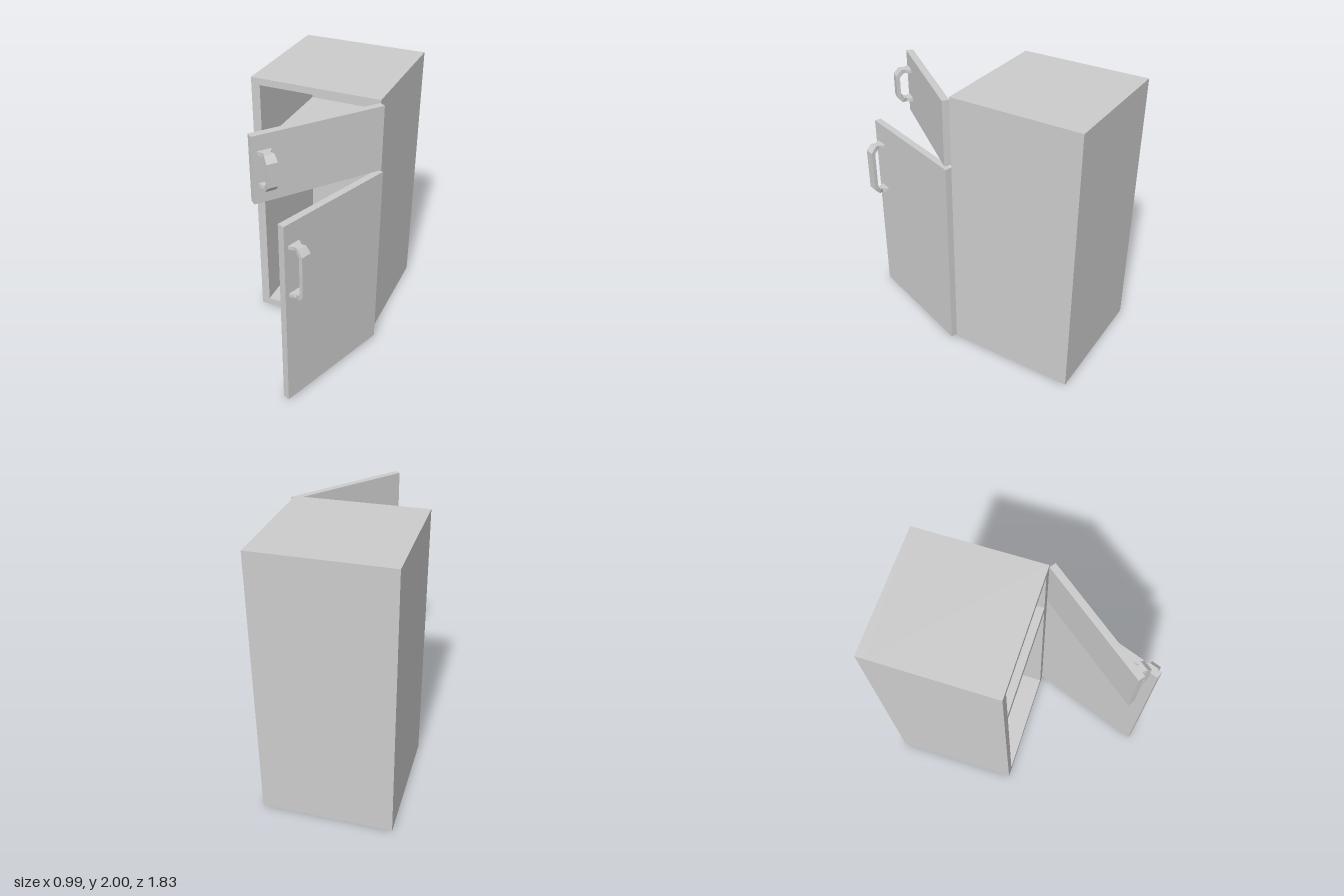
import * as THREE from 'three';

const material = new THREE.MeshStandardMaterial({ color: 0xcccccc, flatShading: true });

function addMesh(parent, name, geometry) {
  const mesh = new THREE.Mesh(geometry, material);
  mesh.name = name;
  parent.add(mesh);
  return mesh;
}

function rectPoints(x0, y0, x1, y1) {
  return [[x0, y0], [x1, y0], [x1, y1], [x0, y1]].map(([x, y]) => new THREE.Vector2(x, y));
}

// Bent strap handle: rectangular sections swept from the lower foot to the upper foot.
// h is half the height; z is the distance out from the door's inner face.
function handleGeometry(h) {
  // [outer y, outer z, inner y, inner z, width]
  const half = [
    [h, 0.045, h - 0.025, 0.045, 0.1],
    [h, 0.065, h - 0.025, 0.065, 0.085],
    [h, 0.095, h - 0.025, 0.09, 0.05],
    [h, 0.125, h - 0.03, 0.112, 0.07],
    [h - 0.042, 0.163, h - 0.055, 0.135, 0.075],
  ];
  const ring = ([oy, oz, iy, iz, w], s) => [
    [-w / 2, s * oy, oz], [w / 2, s * oy, oz], [w / 2, s * iy, iz], [-w / 2, s * iy, iz],
  ];
  const rings = [...half.map(p => ring(p, -1)), ...half.slice().reverse().map(p => ring(p, 1))];
  const positions = [];
  for (let k = 0; k < rings.length - 1; k++) {
    for (let j = 0; j < 4; j++) {
      const n = (j + 1) % 4;
      const a = rings[k][j], b = rings[k][n], c = rings[k + 1][n], d = rings[k + 1][j];
      positions.push(...a, ...b, ...c, ...a, ...c, ...d);
    }
  }
  const geometry = new THREE.BufferGeometry();
  geometry.setAttribute('position', new THREE.Float32BufferAttribute(positions, 3));
  geometry.computeVertexNormals();
  return geometry;
}

// Door hinged on the cabinet's front left edge, swung open by the given angle
function makeDoor(name, y0, y1, degrees, handleY, handleHalf) {
  const width = 0.93, thickness = 0.05;
  const door = new THREE.Group();
  door.name = name;
  addMesh(door, name + 'Panel', new THREE.BoxGeometry(width, y1 - y0, thickness))
    .position.set(-width / 2, (y0 + y1) / 2, thickness / 2);
  addMesh(door, name + 'Handle', handleGeometry(handleHalf)).position.set(-0.85, handleY, 0);
  door.position.set(0.447, 0, 0.02);
  door.rotation.y = THREE.MathUtils.degToRad(degrees);
  return door;
}

export function createModel() {
  const model = new THREE.Group();
  model.name = 'refrigerator';

  // Cabinet shell with two open compartments
  const cabinet = new THREE.Group();
  cabinet.name = 'cabinet';
  const shape = new THREE.Shape(rectPoints(-0.5, 0, 0.45, 2));
  shape.holes.push(new THREE.Path(rectPoints(-0.435, 0.06, 0.385, 1.445)));
  shape.holes.push(new THREE.Path(rectPoints(-0.435, 1.51, 0.385, 1.95)));
  addMesh(cabinet, 'cabinetWalls', new THREE.ExtrudeGeometry(shape, { depth: 0.87, bevelEnabled: false }))
    .position.z = -0.85;
  addMesh(cabinet, 'backWall', new THREE.BoxGeometry(0.95, 2, 0.07)).position.set(-0.025, 1, -0.885);
  model.add(cabinet);

  model.add(makeDoor('fridgeDoor', 0.015, 1.49, 70, 1.135, 0.2));
  model.add(makeDoor('freezerDoor', 1.51, 1.98, 52, 1.752, 0.124));
  return model;
}
